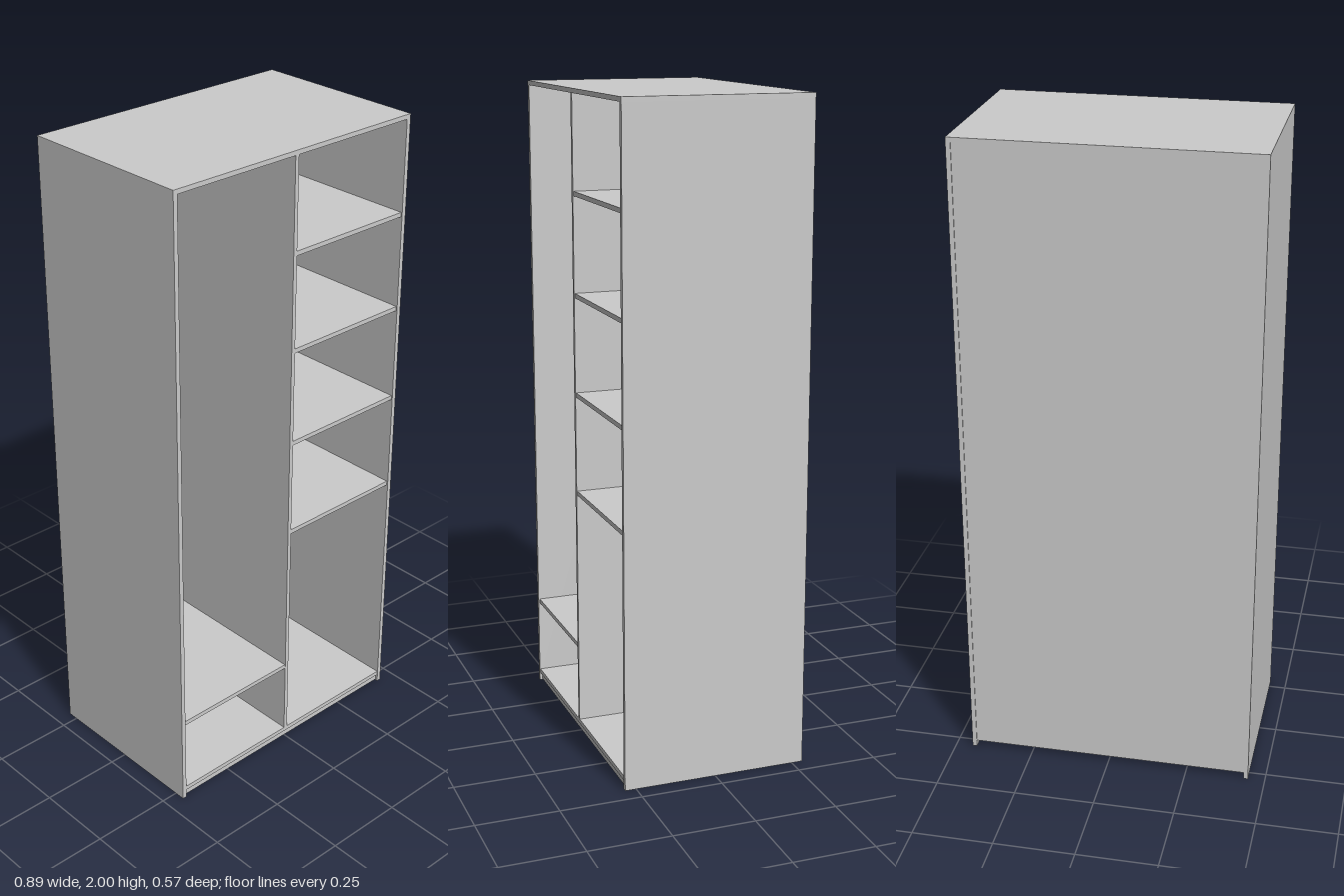
import * as THREE from 'three';

export function createModel() {
  const model = new THREE.Group();
  model.name = 'wardrobe';
  const material = new THREE.MeshStandardMaterial({ color: 0xcccccc });
  const W = 0.447, D = 0.284, T = 0.014; // half width, half depth, board thickness
  const inner = W - T, backZ = -D + 0.012;

  // Board given by its minimum and maximum corners
  function board(name, x0, x1, y0, y1, z0, z1) {
    const mesh = new THREE.Mesh(new THREE.BoxGeometry(x1 - x0, y1 - y0, z1 - z0), material);
    mesh.position.set((x0 + x1) / 2, (y0 + y1) / 2, (z0 + z1) / 2);
    mesh.name = name;
    model.add(mesh);
  }

  // Carcass
  board('top', -W, W, 2 - T, 2, -D, D);
  board('leftSide', inner, W, 0.005, 2 - T, -D, D);
  board('rightSide', -W, -inner, 0.005, 2 - T, -D, D);
  board('bottom', -inner, inner, 0.025, 0.039, backZ, D - 0.002);
  board('back', -inner, inner, 0.02, 2 - T, -D + 0.003, backZ);
  board('plinth', -inner, inner, 0.003, 0.025, D - 0.022, D - 0.008);
  const divL = -0.009, divR = 0.004;
  board('divider', divL, divR, 0.039, 2 - T, backZ, D - 0.002);

  // Glide strips under the sides
  for (const s of [-1, 1]) {
    const c = s * (W - T / 2);
    board('glide', c - T / 2, c + T / 2, 0, 0.005, -D, D);
  }

  // Shelves
  for (const y of [0.776, 1.084, 1.387, 1.689]) {
    board('shelf', divR, inner, y, y + T, backZ, D - 0.004);
  }
  board('lowShelf', -inner, divL, 0.276, 0.29, backZ, D - 0.004);

  // Hanging rail with a flange and a sleeve at each end
  function rail(x0, x1, y) {
    const group = new THREE.Group();
    group.name = 'hangingRail';
    const rod = (name, a, b, r) => {
      const geo = new THREE.CylinderGeometry(r, r, b - a, 16).rotateZ(Math.PI / 2);
      const mesh = new THREE.Mesh(geo, material);
      mesh.position.set((a + b) / 2, y, 0);
      mesh.name = name;
      group.add(mesh);
    };
    rod('rod', x0 + 0.005, x1 - 0.005, 0.011);
    rod('flange', x0, x0 + 0.005, 0.018);
    rod('flange', x1 - 0.005, x1, 0.018);
    rod('sleeve', x0 + 0.005, x0 + 0.024, 0.013);
    rod('sleeve', x1 - 0.024, x1 - 0.005, 0.013);
    model.add(group);
  }
  rail(-inner, divL, 1.872);
  rail(divR, inner, 0.691);

  return model;
}
